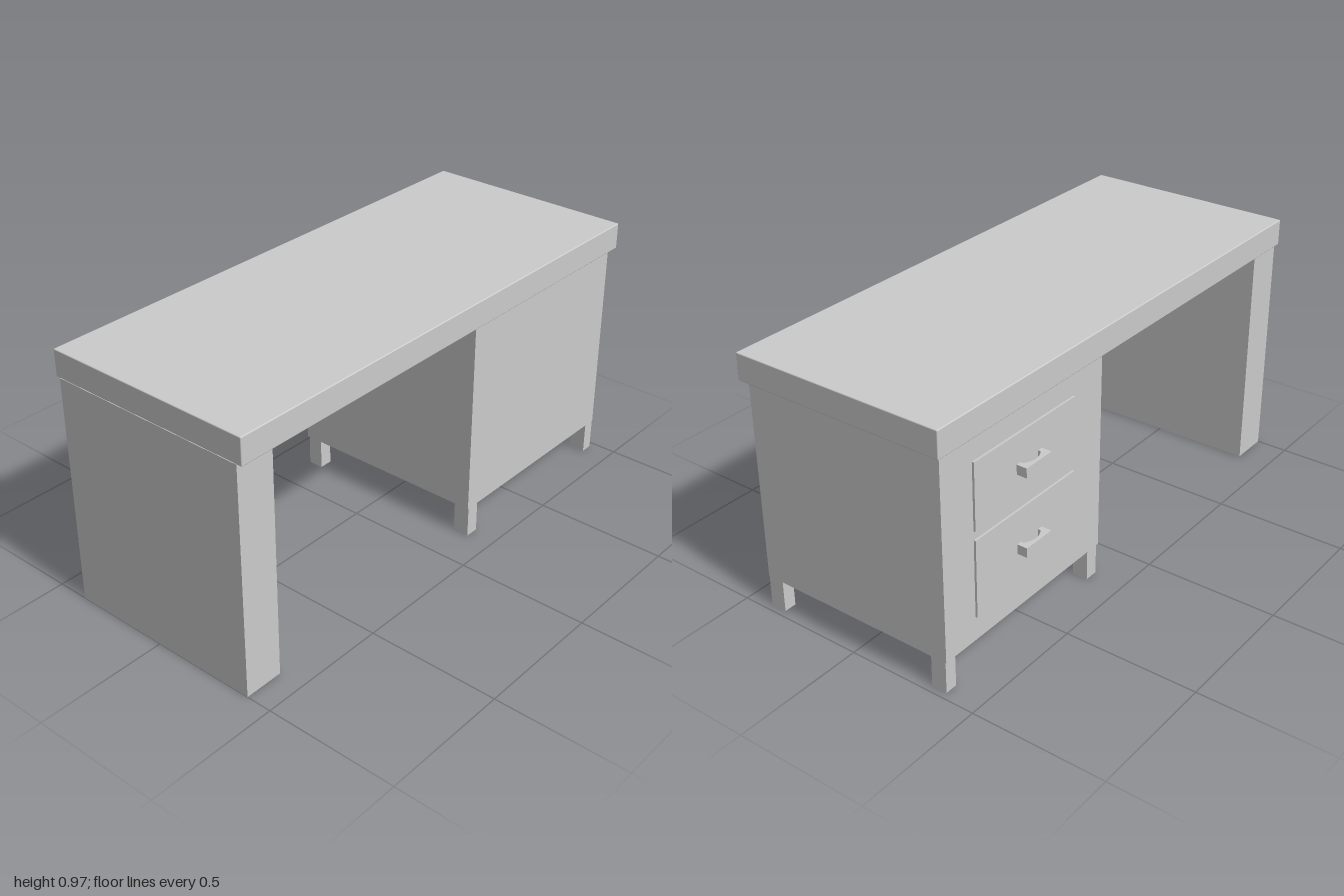
import * as THREE from 'three';
import { RoundedBoxGeometry } from 'three/addons/geometries/RoundedBoxGeometry.js';

const solid = new THREE.MeshStandardMaterial({ color: 0xcccccc });
const open = new THREE.MeshStandardMaterial({ color: 0xcccccc, side: THREE.DoubleSide });

// Place a mesh so that it fills the given x, y and z ranges
function fill(name, [x0, x1], [y0, y1], [z0, z1], make, material = solid) {
  const mesh = new THREE.Mesh(make(x1 - x0, y1 - y0, z1 - z0), material);
  mesh.name = name;
  mesh.position.set((x0 + x1) / 2, (y0 + y1) / 2, (z0 + z1) / 2);
  return mesh;
}

const box = (w, h, d) => new THREE.BoxGeometry(w, h, d);
const roundedBox = (w, h, d) => new RoundedBoxGeometry(w, h, d, 2, 0.004);

// Box without its underside
function openBox(w, h, d) {
  const g = new THREE.BoxGeometry(w, h, d);
  const index = Array.from(g.index.array);
  index.splice(18, 6);
  g.setIndex(index);
  g.clearGroups();
  return g;
}

// Pull handle: a straight bar with an arched finger gap, extruded upwards
function handleGeometry(width, depth, height) {
  const w = width / 2;
  const foot = 0.02;
  const s = new THREE.Shape();
  s.moveTo(-w, 0);
  s.lineTo(-w + foot, 0);
  s.lineTo(-w + foot, 0.011);
  s.quadraticCurveTo(0, 0.041, w - foot, 0.011);
  s.lineTo(w - foot, 0);
  s.lineTo(w, 0);
  s.lineTo(w, depth);
  s.lineTo(-w, depth);
  s.closePath();
  const g = new THREE.ExtrudeGeometry(s, { depth: height, bevelEnabled: false, curveSegments: 10 });
  return g.rotateX(-Math.PI / 2);
}

export function createModel() {
  const desk = new THREE.Group();
  desk.name = 'desk';

  // Top and side panel
  desk.add(fill('desktop', [-1, 0.997], [0.87, 0.97], [-0.395, 0.425], roundedBox));
  desk.add(fill('sidePanel', [-1, -0.85], [0, 0.87], [-0.378, 0.403], openBox, open));

  // Drawer cabinet on four short legs
  desk.add(fill('cabinet', [0.15, 0.975], [0.12, 0.87], [-0.378, 0.403], box));
  for (const x of [[0.155, 0.208], [0.927, 0.974]]) {
    for (const z of [[-0.374, -0.315], [0.34, 0.402]]) {
      desk.add(fill('leg', x, [0, 0.12], z, openBox, open));
    }
  }

  // Drawers with handles
  for (const [y0, y1, handleY] of [[0.533, 0.78, 0.637], [0.21, 0.5, 0.34]]) {
    const drawer = new THREE.Group();
    drawer.name = 'drawer';
    drawer.add(fill('drawerFront', [0.31, 0.827], [y0, y1], [-0.386, -0.37], box));
    const handle = new THREE.Mesh(handleGeometry(0.13, 0.039, 0.036), solid);
    handle.name = 'handle';
    handle.position.set(0.555, handleY, -0.386);
    drawer.add(handle);
    desk.add(drawer);
  }
  return desk;
}
